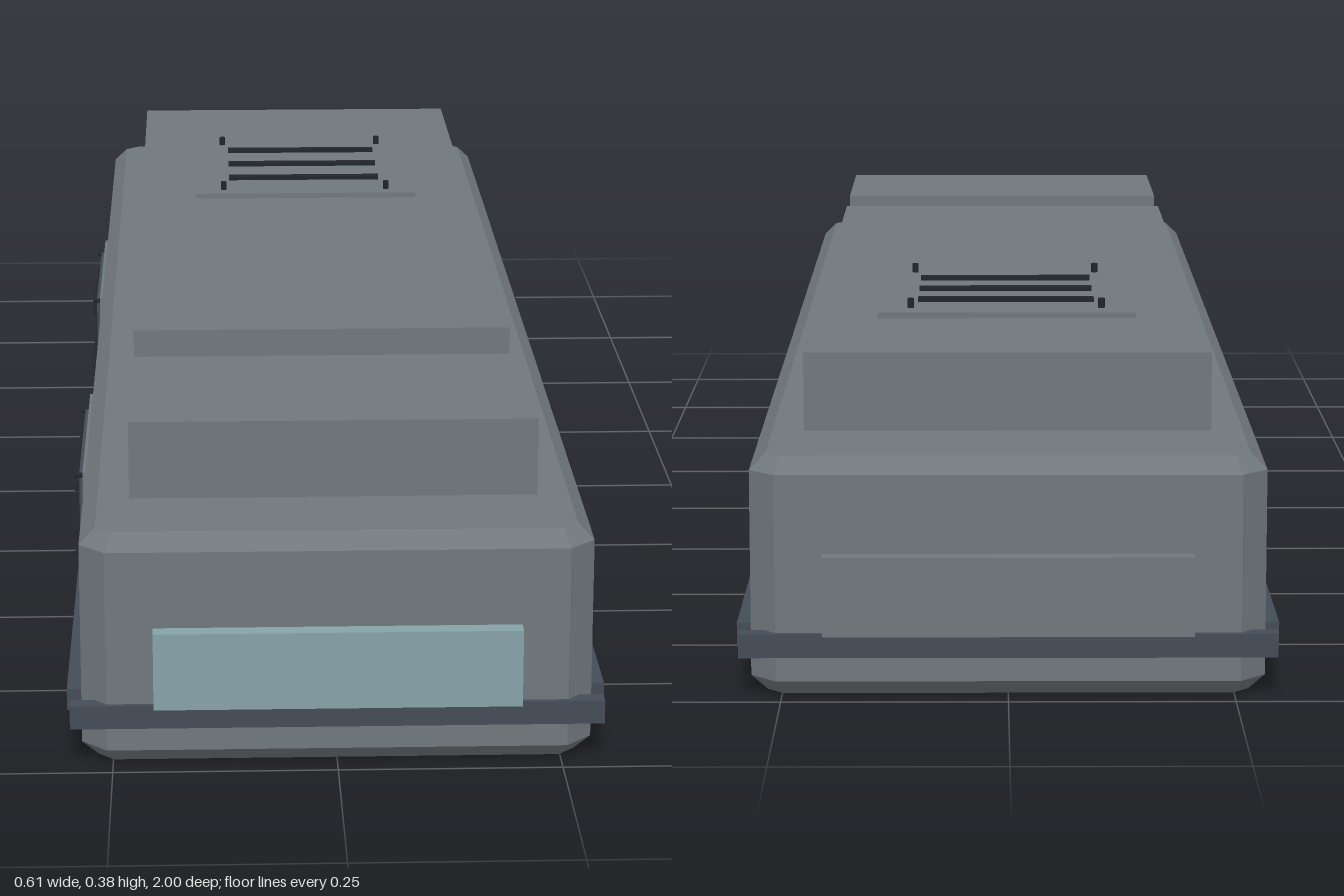
import * as THREE from 'three';

const mat = (name, color) => {
  const m = new THREE.MeshStandardMaterial({ color });
  m.name = name;
  return m;
};

export function createModel() {
  const hull = mat('hull grey', 0x70787c);
  const glass = mat('pale teal', 0x87a3a8);
  const navy = mat('dark slate', 0x444c58);
  const black = mat('slat black', 0x22262b);
  const model = new THREE.Group();
  model.name = 'model';

  // Box given by its min and max along each axis
  const box = (parent, name, m, x0, x1, y0, y1, z0, z1) => {
    const mesh = new THREE.Mesh(new THREE.BoxGeometry(x1 - x0, y1 - y0, z1 - z0), m);
    mesh.position.set((x0 + x1) / 2, (y0 + y1) / 2, (z0 + z1) / 2);
    mesh.name = name;
    parent.add(mesh);
    return mesh;
  };

  // Hull: octagonal plan with bevelled top and bottom edges
  const b = 0.018, w = 0.285 - b, l = 0.98 - b, c = 0.018;
  const plan = new THREE.Shape([
    [w, -l + c], [w, l - c], [w - c, l], [-w + c, l],
    [-w, l - c], [-w, -l + c], [-w + c, -l], [w - c, -l],
  ].map(([x, y]) => new THREE.Vector2(x, y)));
  const hullGeo = new THREE.ExtrudeGeometry(plan, {
    depth: 0.268 - 2 * b, bevelEnabled: true, bevelSize: b, bevelThickness: b, bevelSegments: 1,
  });
  hullGeo.rotateX(-Math.PI / 2).translate(0, b, 0);
  const body = new THREE.Mesh(hullGeo, hull);
  body.name = 'hull';
  model.add(body);

  // Roof blocks
  box(model, 'frontRoofBlock', hull, -0.231, 0.231, 0.266, 0.358, 0.58, 0.845);
  box(model, 'rearRoofBlock', hull, -0.231, 0.231, 0.266, 0.358, -0.82, 0.463);

  // Roof vent with slats and corner bolts
  const roofVent = new THREE.Group();
  roofVent.name = 'roofVent';
  model.add(roofVent);
  box(roofVent, 'ventPlate', hull, -0.155, 0.155, 0.357, 0.365, -0.578, -0.225);
  for (const z of [-0.49, -0.402, -0.314])
    box(roofVent, 'ventSlat', black, -0.107, 0.107, 0.364, 0.37, z - 0.007, z + 0.007);
  for (const x of [-0.115, 0.115]) for (const z of [-0.54, -0.25]) {
    const bolt = new THREE.Mesh(new THREE.CylinderGeometry(0.004, 0.004, 0.013, 8), black);
    bolt.position.set(x, 0.37, z);
    bolt.name = 'ventBolt';
    roofVent.add(bolt);
  }

  // Window in front, matching panel behind
  box(model, 'frontWindow', glass, -0.204, 0.204, 0.073, 0.162, 0.97, 1);
  box(model, 'rearPanel', hull, -0.204, 0.204, 0.073, 0.162, -1, -0.97);

  // Bumper bars at both ends
  for (const s of [-1, 1])
    box(model, 'bumper', navy, -0.297, 0.297, 0.046, 0.073, s * 0.976 - 0.01, s * 0.976 + 0.01);

  // Side rails and side vents
  for (const s of [-1, 1]) {
    const side = new THREE.Group();
    side.name = s > 0 ? 'leftSide' : 'rightSide';
    model.add(side);
    const sbox = (name, m, x0, x1, ...rest) =>
      box(side, name, m, Math.min(s * x0, s * x1), Math.max(s * x0, s * x1), ...rest);
    sbox('sideRail', navy, 0.283, 0.302, 0.047, 0.072, -0.93, 0.93);
    for (const z of [-0.406, 0.406]) {
      sbox('ventFrame', hull, 0.283, 0.293, 0.088, 0.21, z - 0.167, z + 0.167);
      sbox('ventPanel', navy, 0.291, 0.298, 0.1, 0.2, z - 0.135, z + 0.135);
      for (const y of [0.117, 0.175])
        sbox('ventSlat', black, 0.296, 0.304, y - 0.004, y + 0.004, z - 0.118, z + 0.118);
      for (const y of [0.1, 0.198]) for (const d of [-0.135, 0.135]) {
        const bolt = new THREE.Mesh(new THREE.CylinderGeometry(0.003, 0.003, 0.014, 8), black);
        bolt.rotation.z = Math.PI / 2;
        bolt.position.set(s * 0.297, y, z + d);
        bolt.name = 'ventBolt';
        side.add(bolt);
      }
    }
  }
  return model;
}
